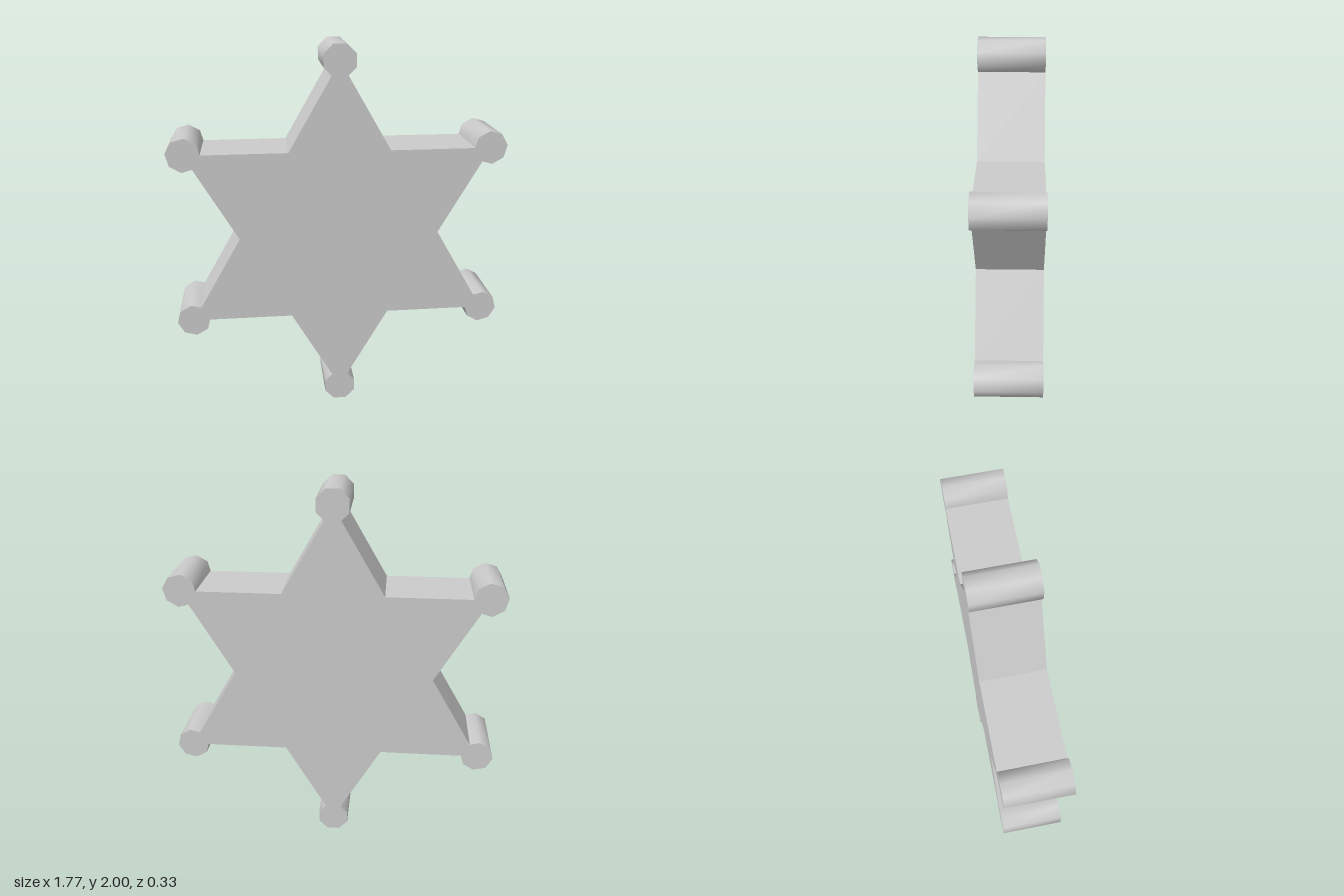
import * as THREE from 'three';
import { toCreasedNormals } from 'three/addons/utils/BufferGeometryUtils.js';

const POINTS = 6;
const INNER = 0.53;                   // radius of the notches between points
const TIP = INNER * Math.sqrt(3);     // radius of the knob centres
const KNOB = 1 - TIP;                 // knob radius to its flats
const DEPTH = 0.334;

// One star point, as [radial, sideways] pairs running counter-clockwise
function starPoint() {
  const corner = KNOB / Math.cos(Math.PI / 8);
  // where the straight arm edge meets the knob's slanted inner facet
  const reach = KNOB * Math.SQRT2 / (1 + Math.tan(Math.PI / 6));
  const neck = [TIP - reach, reach * Math.tan(Math.PI / 6)];
  const pts = [[neck[0], -neck[1]]];
  for (let i = -3; i < 3; i++) {
    const a = (i + 0.5) * Math.PI / 4;
    pts.push([TIP + corner * Math.cos(a), corner * Math.sin(a)]);
  }
  pts.push(neck);
  return pts;
}

export function createModel() {
  const group = new THREE.Group();
  group.name = 'starBadge';

  // Outline: six knob-tipped points with a notch after each
  const outline = [];
  const profile = starPoint();
  for (let k = 0; k < POINTS; k++) {
    const a = Math.PI / 2 + k * Math.PI / 3;
    const c = Math.cos(a), s = Math.sin(a);
    for (const [u, v] of profile) {
      outline.push(new THREE.Vector2(u * c - v * s, u * s + v * c));
    }
    const n = a + Math.PI / 6;
    outline.push(new THREE.Vector2(INNER * Math.cos(n), INNER * Math.sin(n)));
  }

  // Thick plate: knobs shade round, arms and faces stay crisp
  const plate = new THREE.ExtrudeGeometry(new THREE.Shape(outline), {
    depth: DEPTH, bevelEnabled: false,
  });
  plate.translate(0, 1, -DEPTH / 2);
  const star = new THREE.Mesh(
    toCreasedNormals(plate, THREE.MathUtils.degToRad(50)),
    new THREE.MeshStandardMaterial({ color: 0xcccccc }),
  );
  star.name = 'knobTippedStar';
  group.add(star);
  return group;
}
